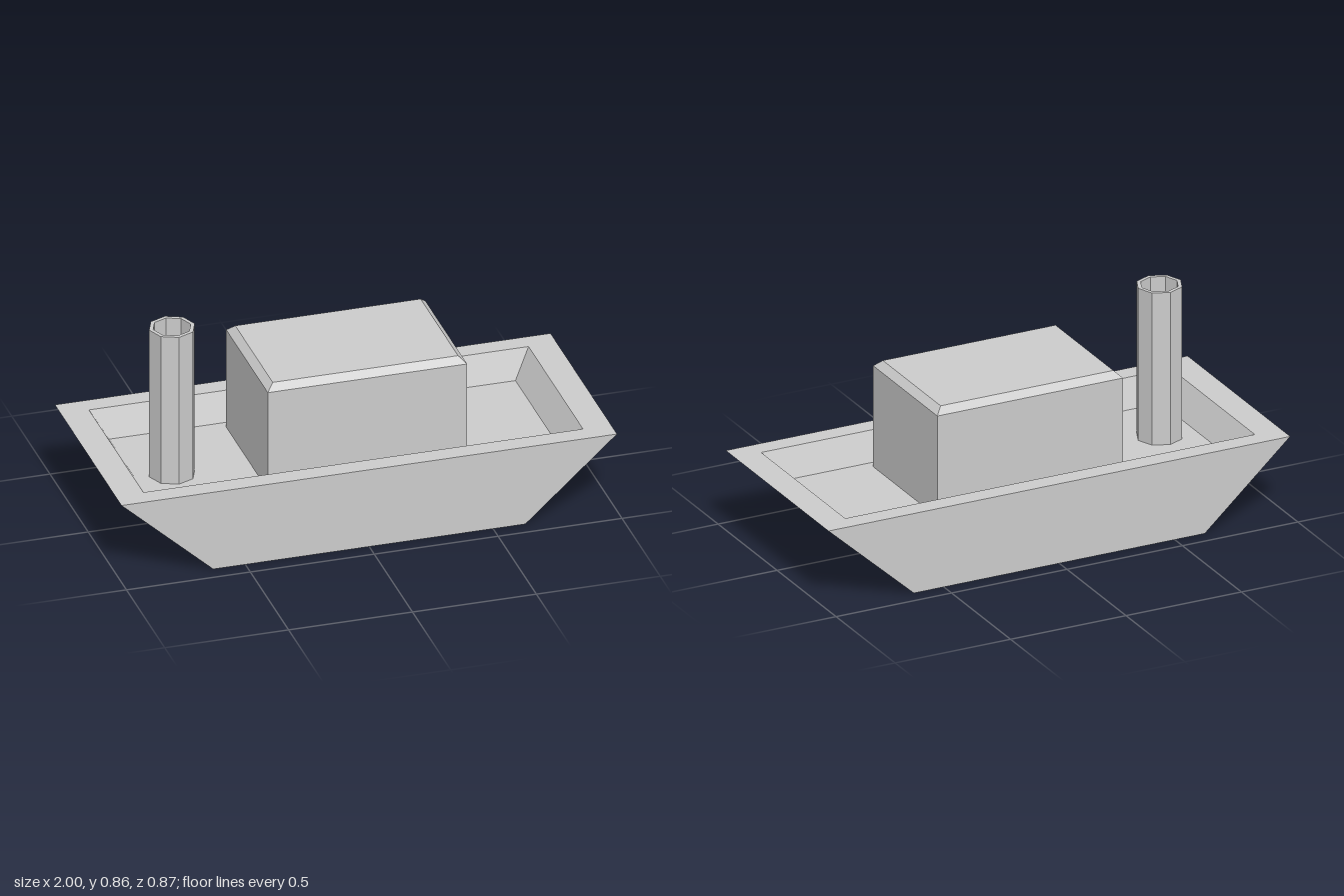
import * as THREE from 'three';

const material = new THREE.MeshStandardMaterial({
  color: 0xcccccc, flatShading: true, side: THREE.DoubleSide,
});

// Skin over a chain of rectangles [y, halfX, halfZ], closed at the last one
function rectLoft(rings) {
  const signs = [[-1, 1], [1, 1], [1, -1], [-1, -1]];
  const corner = ([y, hx, hz], i) => [signs[i % 4][0] * hx, y, signs[i % 4][1] * hz];
  const pos = [];
  const quad = (a, b, c, d) => pos.push(...a, ...b, ...c, ...a, ...c, ...d);
  for (let r = 0; r < rings.length - 1; r++) {
    for (let i = 0; i < 4; i++) {
      quad(corner(rings[r], i), corner(rings[r], i + 1),
        corner(rings[r + 1], i + 1), corner(rings[r + 1], i));
    }
  }
  const last = rings[rings.length - 1];
  quad(corner(last, 0), corner(last, 1), corner(last, 2), corner(last, 3));
  const geo = new THREE.BufferGeometry();
  geo.setAttribute('position', new THREE.Float32BufferAttribute(pos, 3));
  geo.computeVertexNormals();
  return geo;
}

export function createModel() {
  const group = new THREE.Group();
  const add = (name, geometry, x = 0, z = 0) => {
    const mesh = new THREE.Mesh(geometry, material);
    mesh.name = name;
    mesh.position.set(x, 0, z);
    group.add(mesh);
  };
  const deckY = 0.22;

  // Hull: open underneath, raked ends, flat rim and sunken deck
  add('hull', rectLoft([
    [0, 0.63, 0.435],
    [0.335, 1, 0.435],
    [0.335, 0.887, 0.356],
    [deckY, 0.82, 0.31],
  ]));

  // Cabin with a chamfered roof edge
  add('cabin', rectLoft([
    [deckY, 0.402, 0.272],
    [0.645, 0.402, 0.272],
    [0.672, 0.374, 0.245],
  ]), 0.043, 0);

  // Eight-sided hollow funnel
  const profile = [[0.092, deckY], [0.092, 0.86], [0.076, 0.86], [0.076, deckY]]
    .map(([r, y]) => new THREE.Vector2(r, y));
  add('funnel', new THREE.LatheGeometry(profile, 8), -0.672, 0.032);

  return group;
}
